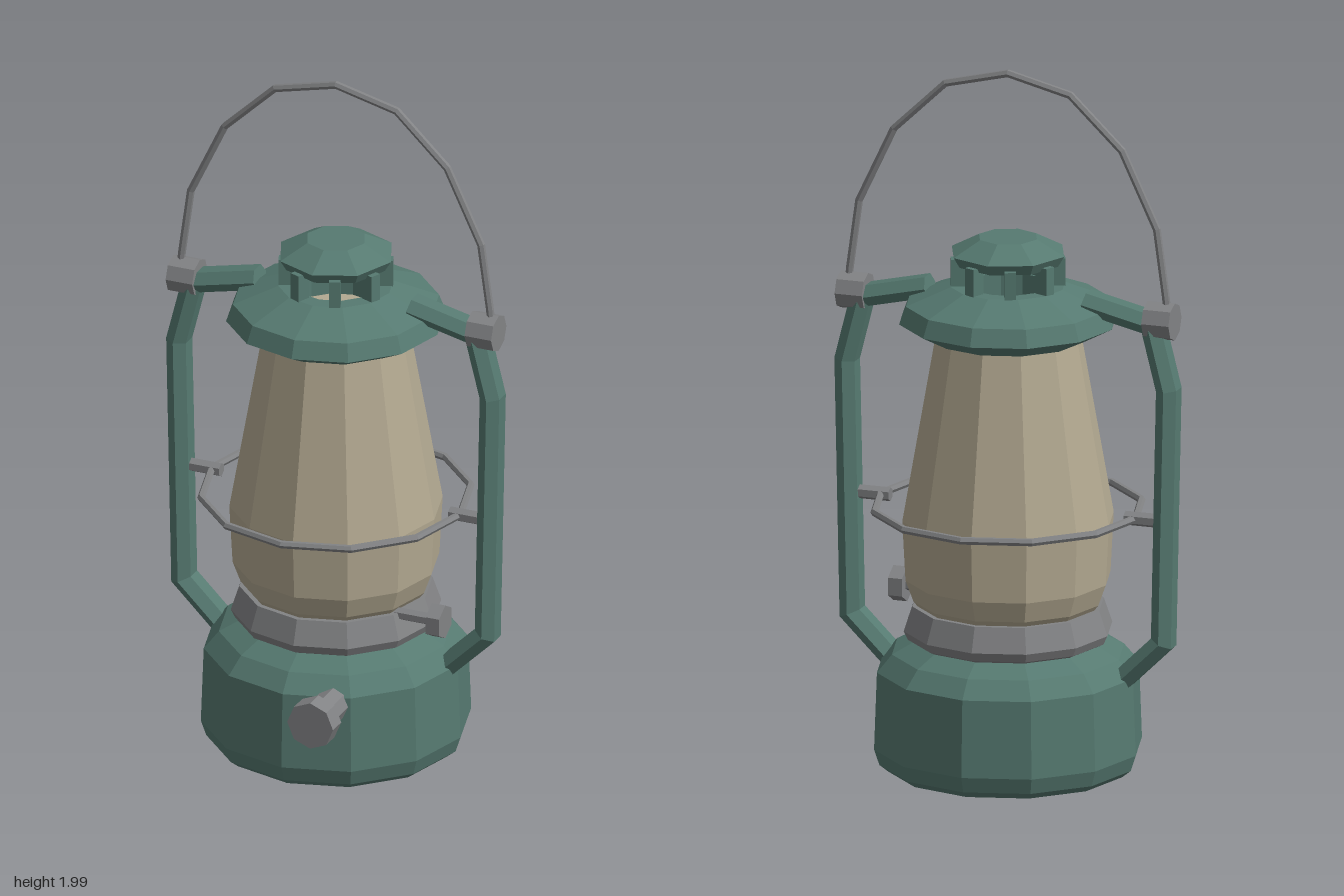
import * as THREE from 'three';

const green = new THREE.MeshStandardMaterial({ color: 0x567a71 });
green.name = 'green enamel';
const steel = new THREE.MeshStandardMaterial({ color: 0x828385 });
steel.name = 'grey steel';
const amber = new THREE.MeshStandardMaterial({ color: 0xb3a991 });
amber.name = 'smoky glass';

// Faceted mesh: unshared corners give flat normals
function part(name, geometry, material) {
  const g = geometry.index ? geometry.toNonIndexed() : geometry;
  g.computeVertexNormals();
  const mesh = new THREE.Mesh(g, material);
  mesh.name = name;
  return mesh;
}

// Turned part from [radius, height] pairs, listed bottom to top
function turned(name, profile, sides, material) {
  const points = profile.map(([r, y]) => new THREE.Vector2(r, y));
  return part(name, new THREE.LatheGeometry(points, sides), material);
}

// Prism along x or z, from one end to the other
function prism(name, axis, from, to, radius, sides, material) {
  const g = new THREE.CylinderGeometry(radius, radius, Math.abs(to - from), sides);
  if (axis === 'x') g.rotateZ(Math.PI / 2).rotateX(Math.PI / 2);
  else g.rotateX(Math.PI / 2);
  const mesh = part(name, g, material);
  mesh.position[axis] = (from + to) / 2;
  return mesh;
}

// Hexagonal bar swept along a path in the xy plane with mitred corners
function sweep(name, path, inPlane, across, material) {
  const pts = path.map(([x, y]) => new THREE.Vector2(x, y));
  const last = pts.length - 1, sides = 6, pos = [], index = [];
  pts.forEach((p, i) => {
    const a = pts[Math.max(i - 1, 0)], b = pts[Math.min(i + 1, last)];
    const d0 = (i > 0 ? p.clone().sub(a) : b.clone().sub(p)).normalize();
    const d1 = (i < last ? b.clone().sub(p) : d0.clone()).normalize();
    const t = d0.clone().add(d1).normalize();
    const w = inPlane / t.dot(d0);
    for (let j = 0; j < sides; j++) {
      const angle = Math.PI / 6 + (j / sides) * Math.PI * 2;
      const n = Math.cos(angle) * w;
      pos.push(p.x - t.y * n, p.y + t.x * n, Math.sin(angle) * across);
    }
  });
  for (let i = 0; i < last; i++) {
    for (let j = 0; j < sides; j++) {
      const k = (j + 1) % sides, a = i * sides, b = a + sides;
      index.push(a + j, a + k, b + k, a + j, b + k, b + j);
    }
  }
  for (let j = 1; j < sides - 1; j++) {
    const e = last * sides;
    index.push(0, j + 1, j, e, e + j, e + j + 1);
  }
  const g = new THREE.BufferGeometry();
  g.setAttribute('position', new THREE.Float32BufferAttribute(pos, 3));
  g.setIndex(index);
  return part(name, g, material);
}

export function createModel() {
  const model = new THREE.Group();
  model.name = 'lantern';
  // Everything turned shares one axis, set back to balance the filler cap
  const body = new THREE.Group();
  body.name = 'lanternBody';
  body.position.z = -0.047;
  model.add(body);

  // Fuel tank, burner collar and glass globe
  body.add(turned('fuelTank', [[0, 0.005], [0.335, 0.005], [0.36, 0.025], [0.375, 0.07],
    [0.367, 0.29], [0.325, 0.34], [0.26, 0.375], [0, 0.375]], 12, green));
  body.add(turned('burnerCollar', [[0.25, 0.365], [0.28, 0.38], [0.292, 0.405],
    [0.268, 0.475], [0, 0.475]], 12, steel));
  body.add(turned('glassGlobe', [[0.25, 0.47], [0.265, 0.49], [0.287, 0.55], [0.296, 0.72],
    [0.205, 1.235], [0.195, 1.3], [0, 1.3]], 12, amber));

  // Hood with an open throat, vent posts and cap
  body.add(turned('hood', [[0.19, 1.235], [0.22, 1.24], [0.305, 1.285], [0.286, 1.335],
    [0.16, 1.385], [0.115, 1.385], [0.115, 1.3]], 12, green));
  const vent = new THREE.Group();
  vent.name = 'ventPosts';
  for (let i = 0; i < 8; i++) {
    const angle = (i + 0.5) * Math.PI / 4;
    const post = part('ventPost', new THREE.BoxGeometry(0.032, 0.09, 0.04), green);
    post.position.set(Math.sin(angle) * 0.138, 1.417, Math.cos(angle) * 0.138);
    post.rotation.y = angle;
    vent.add(post);
  }
  body.add(vent);
  body.add(turned('ventCap', [[0, 1.45], [0.147, 1.45], [0.165, 1.48],
    [0.085, 1.522], [0, 1.522]], 8, green));

  // Side arms, bail pivots and guard brackets, mirrored
  const arm = [[0.23, 1.36], [0.425, 1.315], [0.472, 1.13], [0.457, 0.405], [0.335, 0.285]];
  for (const [side, s] of [['left', 1], ['right', -1]]) {
    body.add(sweep(side + 'SideArm', arm.map(([x, y]) => [x * s, y]), 0.034, 0.045, green));
    const pivot = prism(side + 'BailPivot', 'x', 0.41 * s, 0.49 * s, 0.053, 8, steel);
    pivot.position.y = 1.325;
    const bracket = prism(side + 'GuardBracket', 'x', 0.345 * s, 0.45 * s, 0.02, 6, steel);
    bracket.position.y = 0.75;
    body.add(pivot, bracket);
  }

  // Wire guard ring around the globe
  const ring = part('guardRing', new THREE.TorusGeometry(0.374, 0.011, 6, 12).rotateX(Math.PI / 2), steel);
  ring.position.y = 0.75;
  body.add(ring);

  // Carrying bail
  const half = [[0.468, 1.34], [0.464, 1.39], [0.437, 1.585], [0.335, 1.8], [0.183, 1.945]];
  const bail = [...half.map(([x, y]) => [-x, y]), [0, 1.99], ...half.slice().reverse()];
  body.add(sweep('bailHandle', bail, 0.011, 0.011, steel));

  // Wick adjuster
  const wick = new THREE.Group();
  wick.name = 'wickAdjuster';
  wick.position.set(0, 0.467, 0.055);
  wick.add(prism('wickShaft', 'x', 0.2, 0.34, 0.018, 6, steel));
  wick.add(prism('wickKnob', 'x', 0.333, 0.374, 0.05, 6, steel));
  model.add(wick);

  // Fuel filler
  const filler = new THREE.Group();
  filler.name = 'fuelFiller';
  filler.position.set(0.13, 0.264, 0);
  filler.add(prism('fillerNeck', 'z', 0.22, 0.375, 0.047, 8, steel));
  filler.add(prism('fillerCap', 'z', 0.37, 0.427, 0.069, 8, steel));
  model.add(filler);

  return model;
}
